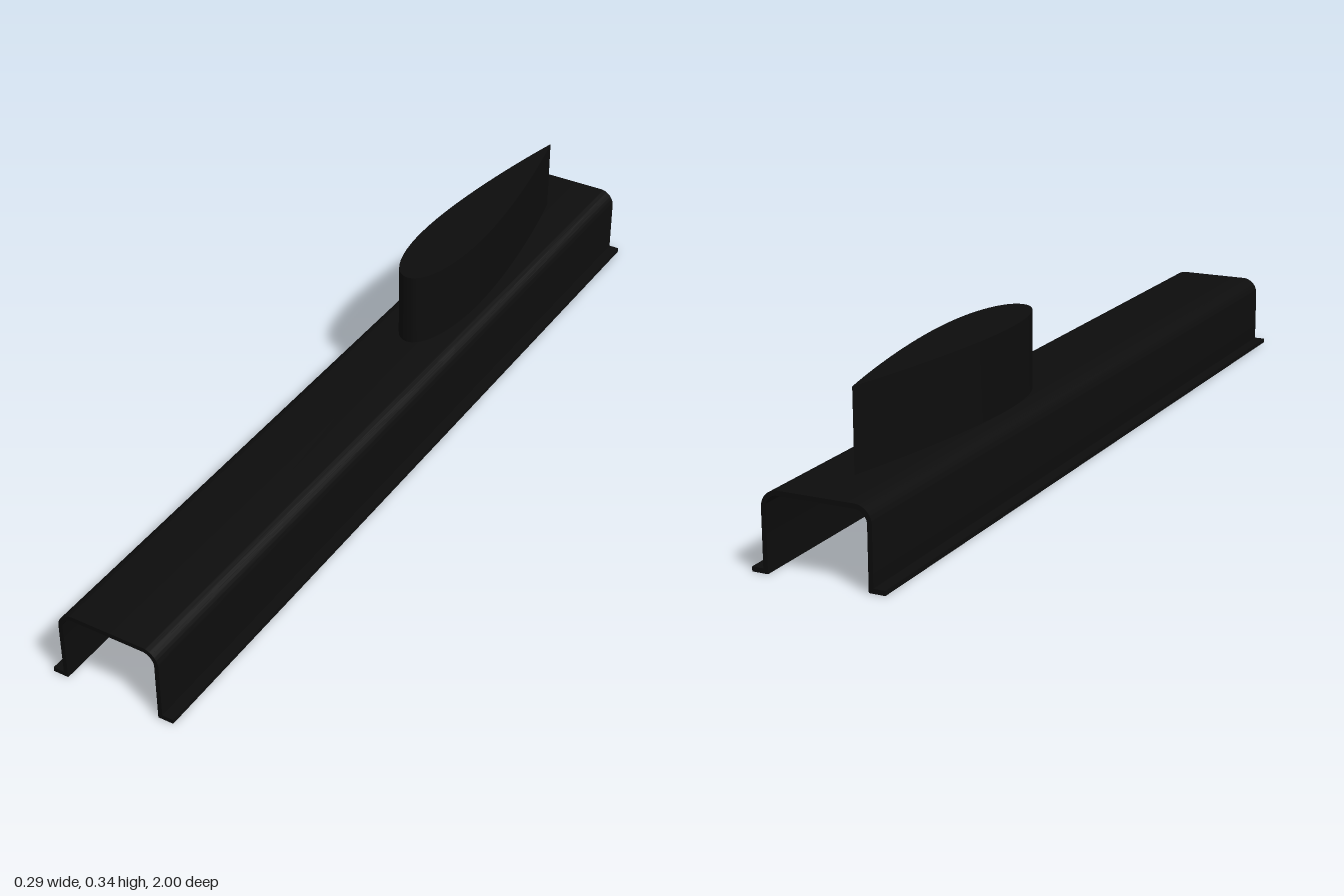
import * as THREE from 'three';
import { toCreasedNormals } from 'three/addons/utils/BufferGeometryUtils.js';

const LENGTH = 2;
const WALL_OUT = 0.119, WALL_IN = 0.109;   // side wall faces
const TOP_OUT = 0.169, TOP_IN = 0.159;     // roof faces
const R_OUT = 0.037, R_IN = 0.027;         // corner radii
const FLANGE_X = 0.144, FLANGE_H = 0.01;

// Flanged hat section, drawn once around the outside and back along the inside
function channelShape() {
  const s = new THREE.Shape();
  s.moveTo(WALL_IN, 0);
  s.lineTo(FLANGE_X, 0);
  s.lineTo(FLANGE_X, FLANGE_H);
  s.lineTo(WALL_OUT, FLANGE_H);
  s.lineTo(WALL_OUT, TOP_OUT - R_OUT);
  s.absarc(WALL_OUT - R_OUT, TOP_OUT - R_OUT, R_OUT, 0, Math.PI / 2, false);
  s.absarc(R_OUT - WALL_OUT, TOP_OUT - R_OUT, R_OUT, Math.PI / 2, Math.PI, false);
  s.lineTo(-WALL_OUT, FLANGE_H);
  s.lineTo(-FLANGE_X, FLANGE_H);
  s.lineTo(-FLANGE_X, 0);
  s.lineTo(-WALL_IN, 0);
  s.lineTo(-WALL_IN, TOP_IN - R_IN);
  s.absarc(R_IN - WALL_IN, TOP_IN - R_IN, R_IN, Math.PI, Math.PI / 2, true);
  s.absarc(WALL_IN - R_IN, TOP_IN - R_IN, R_IN, Math.PI / 2, 0, true);
  s.closePath();
  return s;
}

// Symmetric aerofoil: round nose at the front, sharp tail at the back
function finShape(noseZ, tailZ, halfWidth, steps = 32) {
  const chord = noseZ - tailZ;
  const half = (t) => 10 * halfWidth * (0.2969 * Math.sqrt(t) - 0.126 * t
    - 0.3516 * t ** 2 + 0.2843 * t ** 3 - 0.1036 * t ** 4);
  const right = [], left = [];
  for (let i = 0; i <= steps; i++) {
    const t = (1 - Math.cos((Math.PI * i) / steps)) / 2;
    const x = half(t), y = -noseZ + t * chord;
    right.push(new THREE.Vector2(x, y));
    if (i > 0 && i < steps) left.unshift(new THREE.Vector2(-x, y));
  }
  right[0].x = right[steps].x = 0;
  return new THREE.Shape([...right, ...left]);
}

function extrude(shape, depth) {
  return new THREE.ExtrudeGeometry(shape, { depth, bevelEnabled: false, curveSegments: 12 });
}

export function createModel() {
  const group = new THREE.Group();
  group.name = 'finnedChannel';
  const black = new THREE.MeshStandardMaterial({ color: 0x0d0d0d });
  black.name = 'black';

  // Long open channel with flanges
  const channelGeo = extrude(channelShape(), LENGTH).translate(0, 0, -LENGTH / 2);
  const channel = new THREE.Mesh(toCreasedNormals(channelGeo, 0.6), black);
  channel.name = 'channel';
  group.add(channel);

  // Upright fin, seated through the roof of the channel
  const finGeo = extrude(finShape(-0.145, -0.86, 0.0685), 0.343 - TOP_IN);
  finGeo.rotateX(-Math.PI / 2).translate(0, TOP_IN, 0);
  const fin = new THREE.Mesh(toCreasedNormals(finGeo, 0.6), black);
  fin.name = 'fin';
  group.add(fin);

  return group;
}
